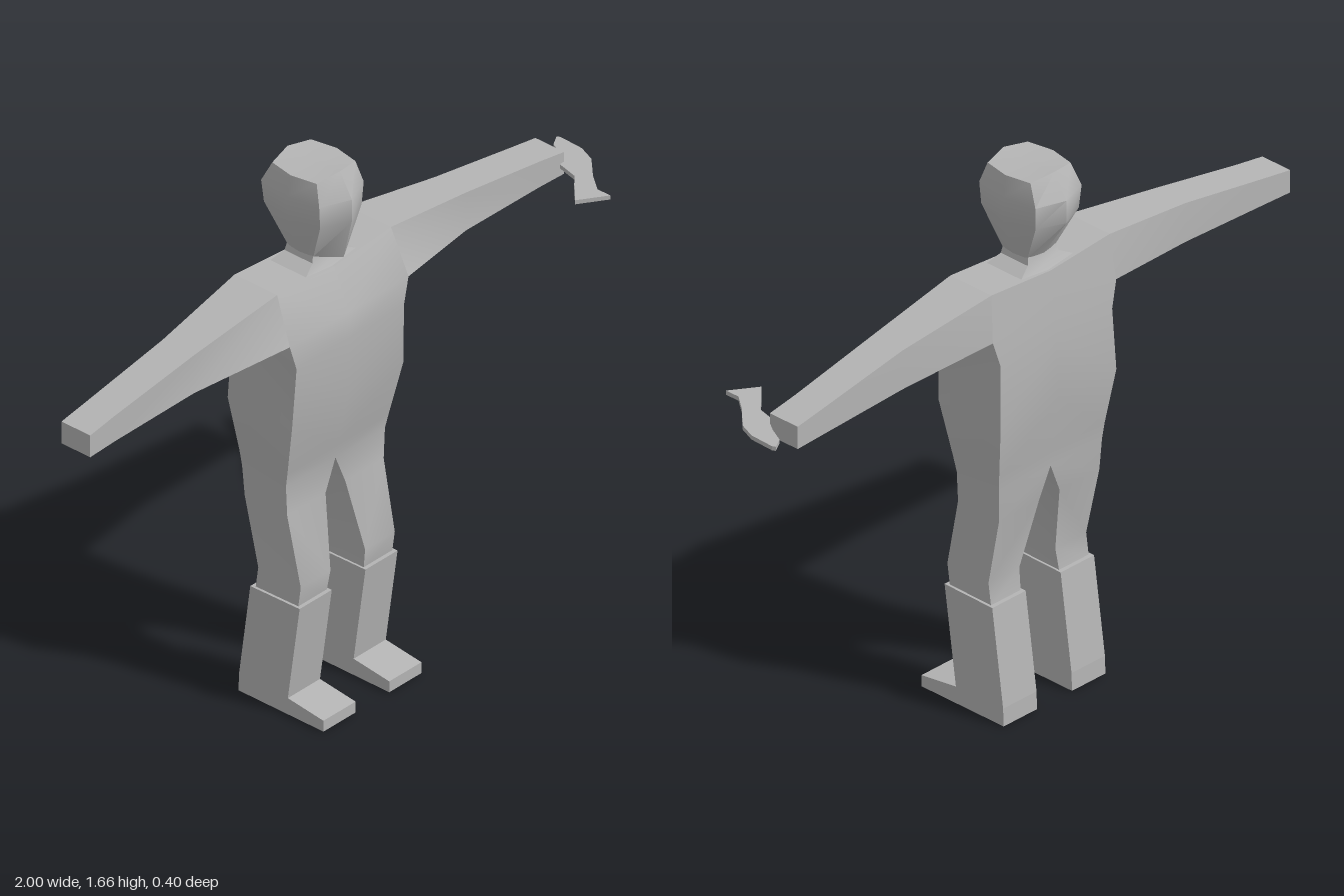
import * as THREE from 'three';
import { toCreasedNormals } from 'three/addons/utils/BufferGeometryUtils.js';

const grey = new THREE.MeshStandardMaterial({ color: 0xb4b4b4 });
grey.name = 'plain grey';

// Joins matching loops of points into a skin; side = -1 mirrors it in x.
function loft(loops, { side = 1, capStart = false, capEnd = false, crease = 0.5 } = {}) {
  const out = [];
  const tri = (a, b, c) => {
    for (const p of side > 0 ? [a, b, c] : [a, c, b]) out.push(p[0] * side, p[1], p[2]);
  };
  const n = loops[0].length;
  for (let i = 0; i < loops.length - 1; i++) {
    for (let j = 0; j < n; j++) {
      const k = (j + 1) % n;
      const a = loops[i][j], b = loops[i][k], c = loops[i + 1][k], d = loops[i + 1][j];
      // no skin on the centre plane
      if ([a, b, c, d].every((p) => p[0] === 0)) continue;
      tri(a, b, c);
      tri(a, c, d);
    }
  }
  const cap = (loop, flip) => {
    const mid = [0, 1, 2].map((m) => loop.reduce((s, p) => s + p[m], 0) / n);
    loop.forEach((p, j) => {
      const q = loop[(j + 1) % n];
      flip ? tri(mid, q, p) : tri(mid, p, q);
    });
  };
  if (capStart) cap(loops[0], true);
  if (capEnd) cap(loops[loops.length - 1], false);
  const g = new THREE.BufferGeometry();
  g.setAttribute('position', new THREE.Float32BufferAttribute(out, 3));
  return toCreasedNormals(g, crease);
}

function add(parent, name, geometry) {
  const mesh = new THREE.Mesh(geometry, grey);
  mesh.name = name;
  parent.add(mesh);
  return mesh;
}

// Rectangular level section
const rect = (y, xi, xo, zf, zb, yi = y) => [[xi, yi, zf], [xo, y, zf], [xo, y, zb], [xi, yi, zb]];

export function createModel() {
  const root = new THREE.Group();
  root.name = 'figure';
  const body = new THREE.Group();
  body.name = 'body';
  body.position.x = -0.043;
  root.add(body);

  // Half torso running down into one leg: y, inner x, outer x, front z, back z
  const half = [
    [0.35, 0.075, 0.19, 0.055, -0.1],
    [0.42, 0.07, 0.19, 0.065, -0.09],
    [0.635, 0.04, 0.195, 0.02, -0.135],
    [0.73, 0, 0.2, 0.02, -0.14],
    [0.78, 0, 0.205, 0.03, -0.145],
    [0.95, 0, 0.225, 0.065, -0.17],
    [1.14, 0, 0.217, 0.074, -0.162],
    [1.22, 0, 0.24, 0.07, -0.155],
    [1.36, 0, 0.23, 0.015, -0.14, 1.342],
  ].map((s) => rect(...s));

  // Arm sections facing sideways
  const arm = [
    [[0.24, 1.22, 0.07], [0.24, 1.22, -0.155], [0.23, 1.36, -0.14], [0.23, 1.36, 0.015]],
    [[0.55, 1.19, 0], [0.55, 1.19, -0.115], [0.55, 1.312, -0.115], [0.55, 1.312, 0]],
    [[0.86, 1.178, -0.01], [0.86, 1.178, -0.115], [0.86, 1.26, -0.115], [0.86, 1.26, -0.01]],
    [[0.958, 1.174, -0.01], [0.958, 1.174, -0.115], [0.958, 1.244, -0.115], [0.958, 1.244, -0.01]],
  ];

  // Boot side profile as z, y
  const profile = [[-0.155, 0], [0.155, 0], [0.155, 0.035], [0.025, 0.052],
    [0.068, 0.357], [-0.112, 0.354], [-0.153, 0.055]];
  const bootShape = new THREE.Shape(profile.map(([z, y]) => new THREE.Vector2(-z, y)));

  for (const [word, side] of [['left', 1], ['right', -1]]) {
    add(body, word + 'TorsoAndLeg', loft(half, { side, capStart: true, capEnd: true }));
    add(body, word + 'Arm', loft(arm, { side, capEnd: true }));
    const boot = new THREE.ExtrudeGeometry(bootShape, { depth: 0.13, bevelEnabled: false });
    boot.rotateY(Math.PI / 2).translate(side * 0.133 - 0.065, 0, 0);
    add(body, word + 'Boot', boot);
  }

  // Neck flaring into the shoulders
  add(body, 'neck', loft([
    rect(1.335, -0.13, 0.13, 0.013, -0.138),
    rect(1.37, -0.06, 0.06, -0.01, -0.112),
    rect(1.41, -0.05, 0.05, -0.015, -0.105),
  ]));

  // Head: y, front ridge z, front corner z, back corner z, back ridge z, side x, corner x
  const head = [
    [1.388, 0.05, -0.012, -0.105, -0.115, 0.06, 0.054],
    [1.515, 0.08, 0.04, -0.165, -0.2, 0.105, 0.084],
    [1.585, 0.08, 0.042, -0.17, -0.2, 0.107, 0.09],
    [1.648, 0.037, 0.022, -0.14, -0.155, 0.093, 0.078],
  ].map(([y, f, fc, bc, b, s, c]) => {
    const m = (fc + bc) / 2;
    return [[0, y, f], [c, y, fc], [s, y, m], [c, y, bc], [0, y, b], [-c, y, bc], [-s, y, m], [-c, y, fc]];
  });
  // crown ridge is slightly higher than the sides
  head[3][0][1] = head[3][4][1] = 1.658;
  add(body, 'head', loft(head, { capStart: true, capEnd: true, crease: 0.6 }));

  // Flat curved fish held at the left hand, outline as x, z
  const outline = [[0.995, -0.11], [0.96, -0.09], [0.935, -0.04], [0.915, -0.01], [0.897, -0.01],
    [0.88, 0.06], [0.85, 0.085], [0.79, 0.142], [0.873, 0.197], [0.872, 0.15], [0.915, 0.095],
    [0.975, 0.035], [0.997, -0.02], [1.0, -0.1]];
  const fish = new THREE.ExtrudeGeometry(
    new THREE.Shape(outline.map(([x, z]) => new THREE.Vector2(x, -z))),
    { depth: 0.013, bevelEnabled: false });
  fish.rotateX(-Math.PI / 2).translate(0, 1.2, 0);
  add(root, 'heldFish', fish);

  return root;
}
